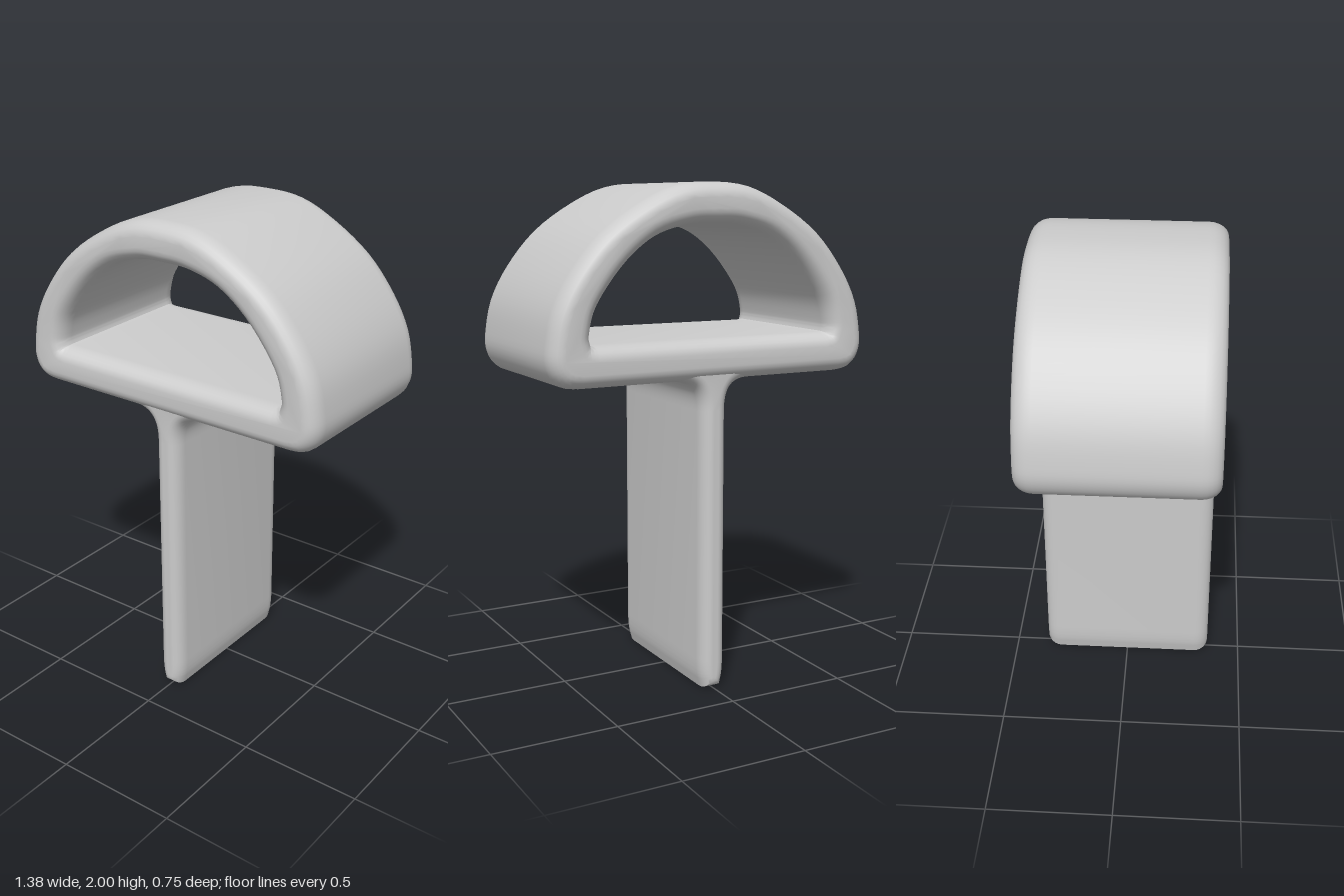
import * as THREE from 'three';
import { toCreasedNormals } from 'three/addons/utils/BufferGeometryUtils.js';

// Smooth arch through half of its points, mirrored across x = 0 and closed by a straight base
function archPoints(half) {
  const right = half.map(([x, y]) => new THREE.Vector2(x, y));
  const left = half.slice(0, -1).reverse().map(([x, y]) => new THREE.Vector2(-x, y));
  return new THREE.SplineCurve([...right, ...left]).getPoints(72);
}

// Extrude a core profile along z; the round bevel grows it to its full size
function roundedExtrude(shape, depth, bevelSize, bevelThickness) {
  const geometry = new THREE.ExtrudeGeometry(shape, {
    depth, bevelSize, bevelThickness, bevelSegments: 6, curveSegments: 14,
  });
  geometry.translate(0, 0, -depth / 2);
  return toCreasedNormals(geometry, 0.8);
}

export function createModel() {
  const group = new THREE.Group();
  const grey = new THREE.MeshStandardMaterial({ color: 0xcccccc });
  grey.name = 'light grey';

  // D-shaped loop with a flat base bar
  const loop = new THREE.Shape(archPoints([
    [0.56, 1.305], [0.605, 1.312], [0.63, 1.345], [0.632, 1.4], [0.607, 1.52],
    [0.54, 1.643], [0.43, 1.77], [0.283, 1.87], [0.142, 1.932], [0, 1.945],
  ]));
  loop.holes.push(new THREE.Path(archPoints([
    [0.5, 1.355], [0.545, 1.366], [0.567, 1.4], [0.572, 1.46], [0.535, 1.58],
    [0.415, 1.738], [0.275, 1.846], [0.125, 1.893], [0, 1.9],
  ])));
  const loopMesh = new THREE.Mesh(roundedExtrude(loop, 0.6, 0.055, 0.075), grey);
  loopMesh.name = 'handleLoop';

  // Flat blade with a tapered tip, flaring into the bar
  const blade = new THREE.Shape();
  blade.moveTo(-0.003, 0.045);
  blade.lineTo(0.003, 0.045);
  blade.quadraticCurveTo(0.01, 0.07, 0.01, 0.13);
  blade.lineTo(0.01, 1.13);
  blade.bezierCurveTo(0.01, 1.24, 0.06, 1.295, 0.17, 1.295);
  blade.lineTo(0.17, 1.32);
  blade.lineTo(-0.17, 1.32);
  blade.lineTo(-0.17, 1.295);
  blade.bezierCurveTo(-0.06, 1.295, -0.01, 1.24, -0.01, 1.13);
  blade.lineTo(-0.01, 0.13);
  blade.quadraticCurveTo(-0.01, 0.07, -0.003, 0.045);
  const bladeMesh = new THREE.Mesh(roundedExtrude(blade, 0.6, 0.045, 0.06), grey);
  bladeMesh.name = 'blade';

  group.add(loopMesh, bladeMesh);
  return group;
}
